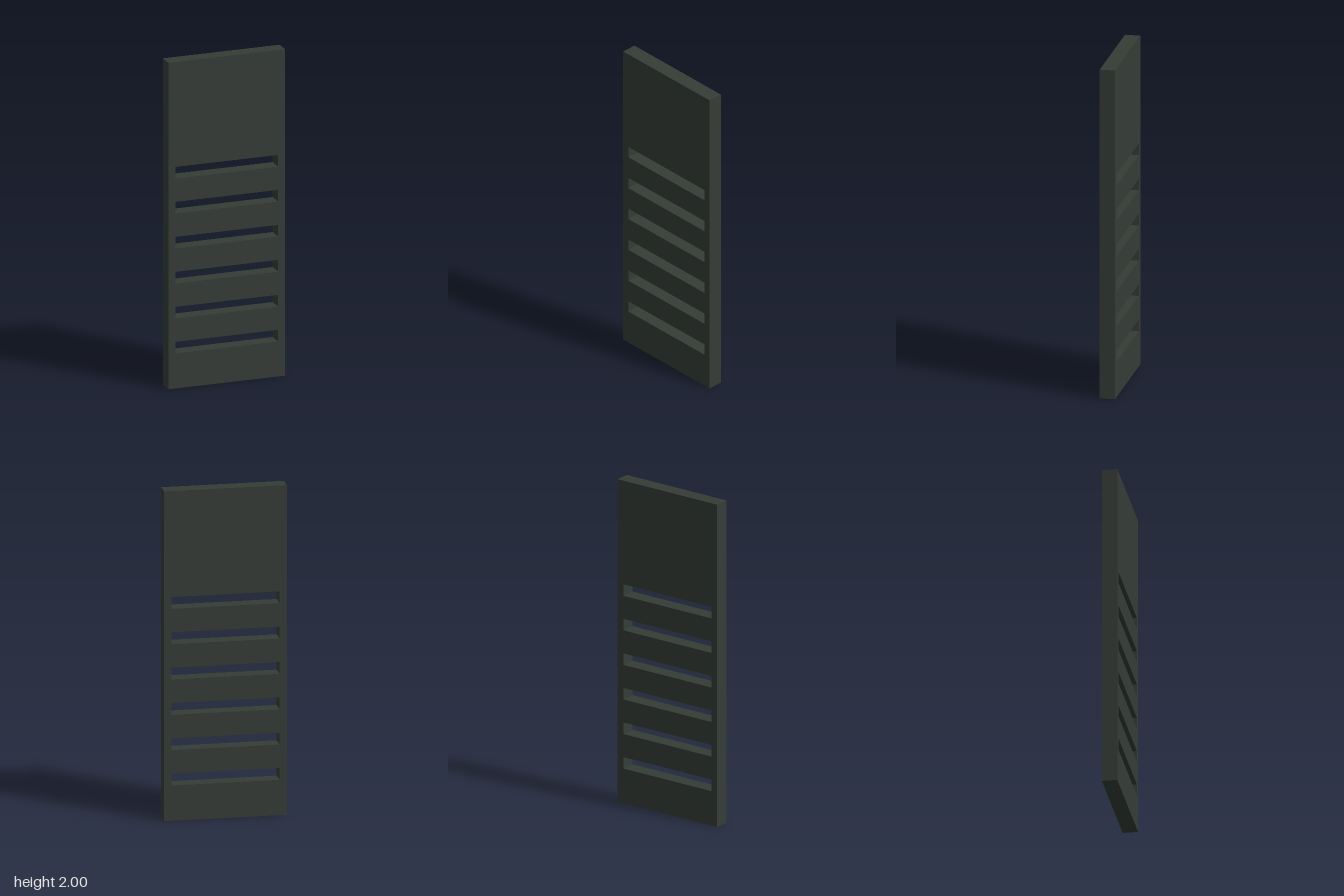
import * as THREE from 'three';

const WIDTH = 0.728, HEIGHT = 2, DEPTH = 0.091;
const SLOT_WIDTH = 0.642, SLOT_HEIGHT = 0.0714, SLOT_PITCH = 0.2143, SLOT_COUNT = 6;

// Traces a rectangle centred on x = 0, standing on y = bottom
function traceRect(path, width, bottom, height) {
  const h = width / 2;
  path.moveTo(-h, bottom);
  path.lineTo(h, bottom);
  path.lineTo(h, bottom + height);
  path.lineTo(-h, bottom + height);
  path.closePath();
  return path;
}

export function createModel() {
  const group = new THREE.Group();
  group.name = 'slottedPanel';

  const darkGreenGrey = new THREE.MeshStandardMaterial({ color: 0x353c36 });
  darkGreenGrey.name = 'darkGreenGrey';

  // Panel outline with a ladder of evenly spaced through slots
  const outline = traceRect(new THREE.Shape(), WIDTH, 0, HEIGHT);
  for (let i = 1; i <= SLOT_COUNT; i++) {
    outline.holes.push(traceRect(new THREE.Path(), SLOT_WIDTH, i * SLOT_PITCH, SLOT_HEIGHT));
  }

  const geometry = new THREE.ExtrudeGeometry(outline, { depth: DEPTH, bevelEnabled: false });
  geometry.translate(0, 0, -DEPTH / 2);

  const panel = new THREE.Mesh(geometry, darkGreenGrey);
  panel.name = 'panel';
  group.add(panel);
  return group;
}
